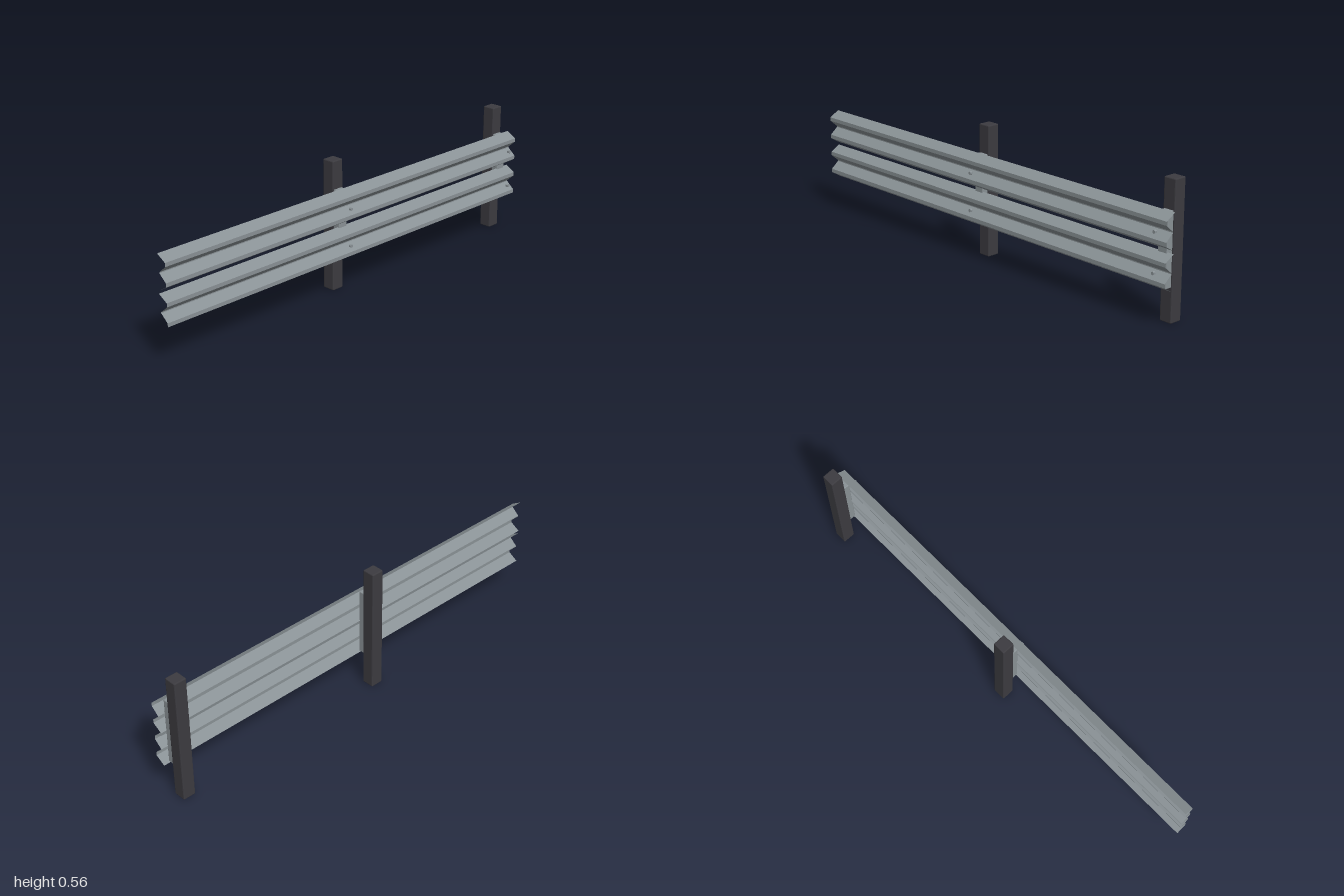
import * as THREE from 'three';
import { RoundedBoxGeometry } from 'three/addons/geometries/RoundedBoxGeometry.js';

const postMat = new THREE.MeshStandardMaterial({ color: 0x3c3b40 });
postMat.name = 'darkPost';
const steelMat = new THREE.MeshStandardMaterial({ color: 0x8a9296, side: THREE.DoubleSide });
steelMat.name = 'galvanisedSteel';

const RAIL_Y = [0.371, 0.212];
const POST_Z = [0.05, -0.95];

function part(name, geometry, material, x, y, z) {
  const mesh = new THREE.Mesh(geometry, material);
  mesh.name = name;
  mesh.position.set(x, y, z);
  return mesh;
}

// Box with a small flat chamfer on every edge
function chamferedBox(w, h, d, r) {
  const g = new RoundedBoxGeometry(w, h, d, 1, r);
  g.computeVertexNormals();
  return g;
}

// Thin W-shaped sheet running along z: [x, height above rail centre]
function railGeometry() {
  const half = [[0.01, 0.0735], [0.053, 0.048], [0.053, 0.032]];
  const profile = [...half, [0.018, 0.002], [0.018, -0.002],
    ...half.map(([x, y]) => [x, -y]).reverse()];
  const plane = new THREE.PlaneGeometry(2, 1, 1, profile.length - 1);
  plane.rotateY(Math.PI / 2);
  const pos = plane.attributes.position;
  for (let i = 0; i < pos.count; i++) {
    const [x, y] = profile[Math.floor(i / 2)];
    pos.setXYZ(i, x, y, pos.getZ(i));
  }
  const g = plane.toNonIndexed();
  g.computeVertexNormals();
  return g;
}

export function createModel() {
  const model = new THREE.Group();
  model.name = 'guardRail';

  // Two corrugated rails
  const rail = railGeometry();
  RAIL_Y.forEach((y, i) => model.add(part(i ? 'lowerRail' : 'upperRail', rail, steelMat, 0, y, 0)));

  // Posts with spacer blocks and hexagonal bolt heads
  const post = chamferedBox(0.055, 0.56, 0.056, 0.004);
  const spacer = chamferedBox(0.036, 0.298, 0.045, 0.003);
  const bolt = new THREE.CylinderGeometry(0.0074, 0.0074, 0.011, 6).toNonIndexed();
  bolt.rotateY(Math.PI / 6);
  bolt.rotateZ(-Math.PI / 2);
  bolt.computeVertexNormals();

  for (const z of POST_Z) {
    const support = new THREE.Group();
    support.name = 'support';
    support.position.z = z;
    support.add(part('post', post, postMat, -0.0405, 0.28, 0));
    support.add(part('spacer', spacer, steelMat, -0.002, 0.291, 0));
    for (const y of RAIL_Y) support.add(part('bolt', bolt, steelMat, 0.0605, y, 0));
    model.add(support);
  }
  return model;
}
